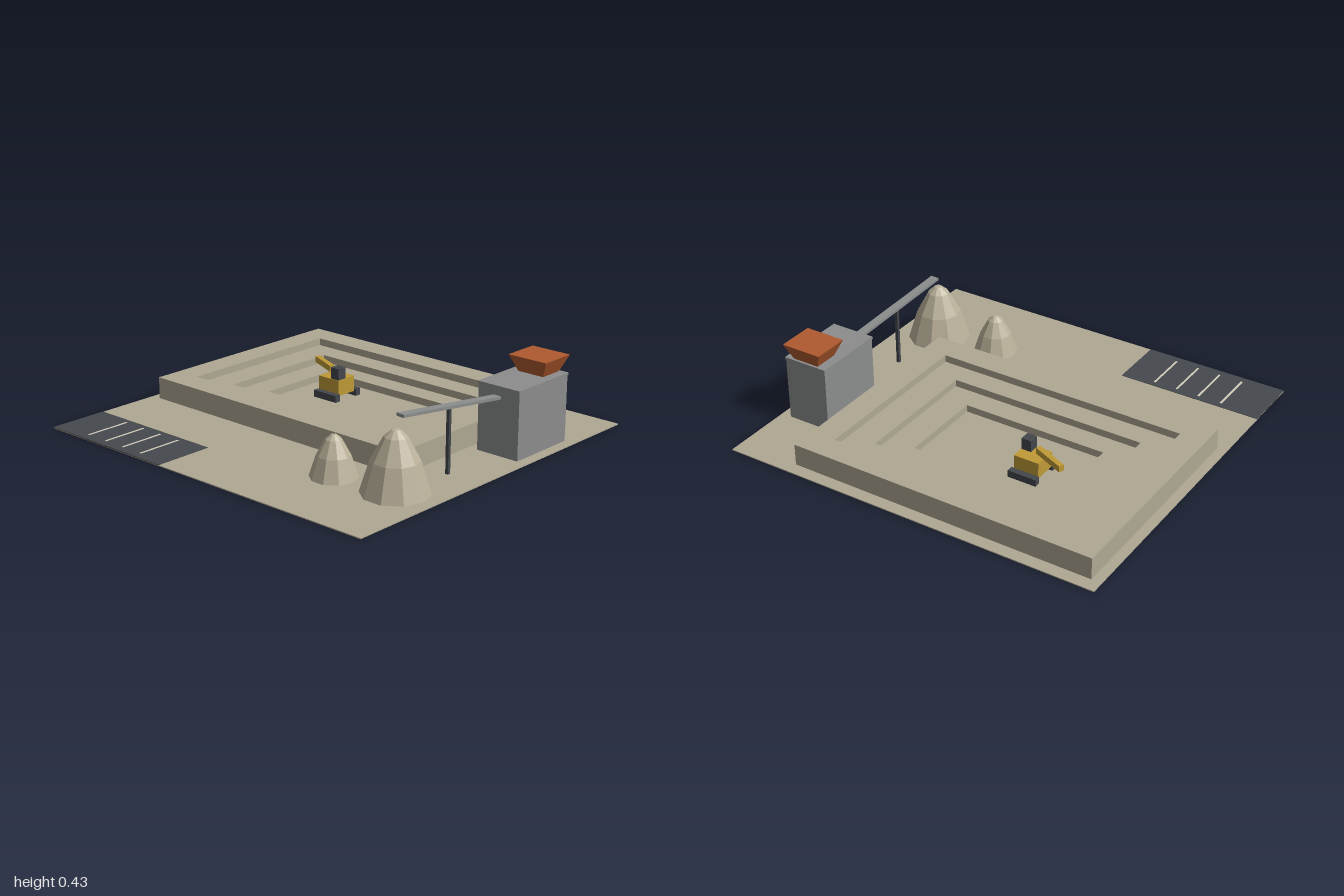
import * as THREE from 'three';

const mat = (name, color) => {
  const m = new THREE.MeshStandardMaterial({ color });
  m.name = name;
  return m;
};

export function createModel() {
  const root = new THREE.Group();
  root.name = 'quarry';

  const sand = mat('sand', 0xafa893);
  const gravel = mat('gravel', 0xbab19a);
  gravel.flatShading = true;
  const asphalt = mat('asphalt', 0x45484d);
  const linePaint = mat('linePaint', 0xd2ccba);
  const concrete = mat('concrete', 0x8c8d8d);
  const rust = mat('rust', 0xb05a2e);
  const yellow = mat('yellow', 0xbf9a36);
  const darkSteel = mat('darkSteel', 0x43464c);

  const add = (name, geometry, material, parent = root) => {
    const mesh = new THREE.Mesh(geometry, material);
    mesh.name = name;
    parent.add(mesh);
    return mesh;
  };
  // Box given by its min and max along each axis
  const box = (name, material, [x0, x1], [y0, y1], [z0, z1], parent) => {
    const m = add(name, new THREE.BoxGeometry(x1 - x0, y1 - y0, z1 - z0), material, parent);
    m.position.set((x0 + x1) / 2, (y0 + y1) / 2, (z0 + z1) / 2);
    return m;
  };

  // Ground slab and car park with bay lines
  box('ground', sand, [-1, 1], [0.001, 0.006], [-0.95, 0.95]);
  box('carPark', asphalt, [-1, -0.238], [0, 0.008], [0.64, 0.95]);
  for (const x of [-0.785, -0.66, -0.537, -0.412]) {
    box('bayLine', linePaint, [x - 0.005, x + 0.005], [0.007, 0.01], [0.67, 0.91]);
  }

  // Pit: nested frames stepping down to the floor; rectangles are x0, x1, z0, z1
  const steps = [
    [-0.95, 0.663, -0.885, 0.305],
    [-0.815, 0.53, -0.752, 0.168],
    [-0.67, 0.385, -0.63, 0.05],
    [-0.535, 0.24, -0.517, -0.068],
  ];
  const heights = [0.118, 0.08, 0.043];
  const trace = (path, [x0, x1, z0, z1]) =>
    path.moveTo(x0, -z1).lineTo(x1, -z1).lineTo(x1, -z0).lineTo(x0, -z0).closePath();
  heights.forEach((top, i) => {
    const shape = trace(new THREE.Shape(), steps[i]);
    shape.holes.push(trace(new THREE.Path(), steps[i + 1]));
    const geo = new THREE.ExtrudeGeometry(shape, { depth: top - 0.005, bevelEnabled: false });
    geo.rotateX(-Math.PI / 2);
    add('pitTerrace' + (i + 1), geo, sand).position.y = 0.005;
  });

  // Excavator on the pit floor
  const excavator = new THREE.Group();
  excavator.name = 'excavator';
  root.add(excavator);
  for (const z of [-0.433, -0.28]) {
    box('track', darkSteel, [-0.385, -0.233], [0.006, 0.042], [z, z + 0.034], excavator);
  }
  box('body', yellow, [-0.38, -0.246], [0.03, 0.113], [-0.4, -0.28], excavator);
  box('cab', darkSteel, [-0.3, -0.248], [0.113, 0.173], [-0.336, -0.283], excavator);
  const arm = add('arm', new THREE.BoxGeometry(0.185, 0.032, 0.027), yellow, excavator);
  arm.position.set(-0.427, 0.144, -0.376);
  arm.rotation.y = -0.41;

  // Crusher building with flat roof
  box('crusherBuilding', concrete, [0.713, 0.947], [0.005, 0.338], [-0.572, -0.196]);
  box('crusherRoof', concrete, [0.71, 0.95], [0.336, 0.348], [-0.576, -0.192]);

  // Hopper: square frustum, wide end up
  const hopperGeo = new THREE.BoxGeometry(1, 1, 1);
  const p = hopperGeo.attributes.position;
  for (let i = 0; i < p.count; i++) {
    const up = p.getY(i) > 0;
    p.setXYZ(i, p.getX(i) * (up ? 0.216 : 0.142), up ? 0.43 : 0.346, p.getZ(i) * (up ? 0.19 : 0.125));
  }
  hopperGeo.computeVertexNormals();
  add('hopper', hopperGeo, rust).position.set(0.832, 0, -0.5);

  // Conveyor belt sloping up to the big pile, on one post
  const low = new THREE.Vector3(0.83, 0.297, -0.185);
  const high = new THREE.Vector3(0.785, 0.362, 0.452);
  const belt = add('conveyorBelt', new THREE.BoxGeometry(0.045, 0.014, low.distanceTo(high)), concrete);
  belt.position.copy(low).add(high).multiplyScalar(0.5);
  belt.lookAt(high);
  box('conveyorPost', darkSteel, [0.799, 0.815], [0.005, 0.325], [0.132, 0.148]);

  // Ten-sided gravel piles
  const profile = [[1, 0], [0.7, 0.52], [0.34, 0.88], [0.12, 0.985], [0, 1]];
  for (const [x, z, r, h] of [[0.782, 0.475, 0.162, 0.302], [0.45, 0.512, 0.115, 0.206]]) {
    const points = profile.map(([a, b]) => new THREE.Vector2(a * r, b * h));
    const pile = add('gravelPile', new THREE.LatheGeometry(points, 10), gravel);
    pile.position.set(x, 0.005, z);
    pile.rotation.y = Math.PI / 2;
  }

  return root;
}
